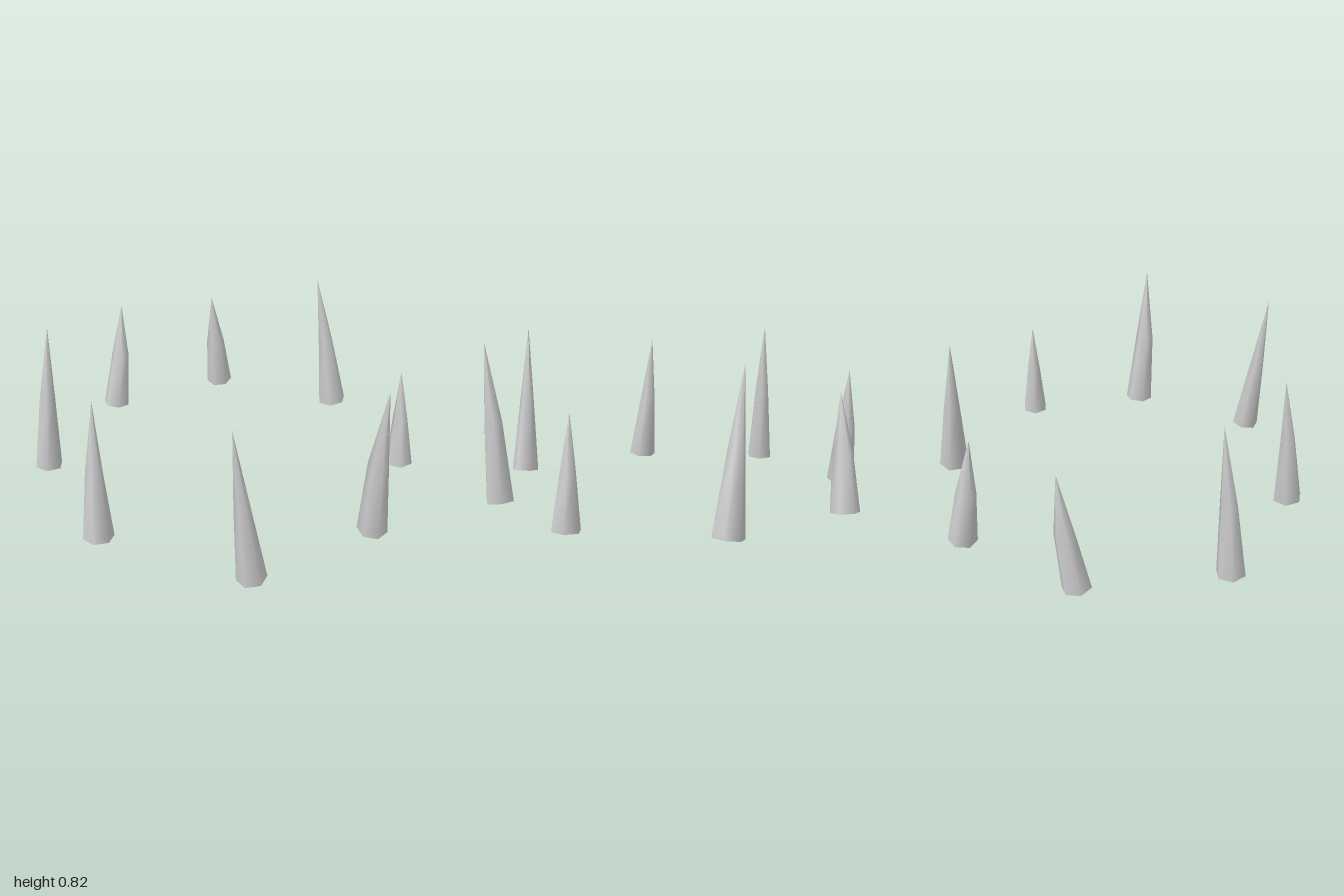
import * as THREE from 'three';
import { toCreasedNormals } from 'three/addons/utils/BufferGeometryUtils.js';

// Each spike: base centre and radius, middle ring centre and radius, tip, turn in degrees
const SPIKES = [
  { base: [0, 0.92], r: 0.077, mid: [-0.032, 0.895], rMid: 0.042, tip: [-0.055, 0.73, 0.86], turn: 30 },
  { base: [0.745, 0.63], r: 0.073, mid: [0.722, 0.674], rMid: 0.038, tip: [0.7, 0.825, 0.715], turn: 18 },
  { base: [0.926, -0.05], r: 0.076, mid: [0.947, -0.024], rMid: 0.05, tip: [0.98, 0.825, -0.02], turn: 0 },
  { base: [0.663, -0.65], r: 0.073, mid: [0.649, -0.643], rMid: 0.04, tip: [0.635, 0.56, -0.635], turn: 45 },
  { base: [-0.027, -0.928], r: 0.079, mid: [-0.07, -0.893], rMid: 0.042, tip: [-0.12, 0.79, -0.852], turn: 30 },
  { base: [-0.7, -0.642], r: 0.074, mid: [-0.695, -0.605], rMid: 0.05, tip: [-0.69, 0.595, -0.57], turn: 17 },
  { base: [-0.938, 0], r: 0.073, mid: [-0.938, -0.053], rMid: 0.05, tip: [-0.94, 0.63, -0.083], turn: 0 },
  { base: [-0.69, 0.694], r: 0.074, mid: [-0.69, 0.662], rMid: 0.043, tip: [-0.69, 0.815, 0.62], turn: 45 },
];

// Six-sided leaning spike: a two-step cone whose rings are moved and tilted
function spikeGeometry({ base, r, mid, rMid, tip, turn }) {
  const geo = new THREE.ConeGeometry(1, 1, 6, 2);
  geo.rotateY(THREE.MathUtils.degToRad(turn));
  const pos = geo.attributes.position;
  const rings = [
    { c: [base[0], 0.013, base[1]], r },
    { c: [mid[0], tip[1] / 2 + 0.005, mid[1]], r: rMid },
    { c: tip, r: 0 },
  ];
  const leanX = (tip[0] - base[0]) / tip[1];
  const leanZ = (tip[2] - base[1]) / tip[1];
  for (let i = 0; i < pos.count; i++) {
    const ring = rings[Math.round((pos.getY(i) + 0.5) * 2)];
    const length = Math.hypot(pos.getX(i), pos.getZ(i));
    const scale = length > 1e-4 ? ring.r / length : 0;
    const dx = pos.getX(i) * scale;
    const dz = pos.getZ(i) * scale;
    const y = ring.c[1] - dx * leanX - dz * leanZ;
    pos.setXYZ(i, ring.c[0] + dx, Math.max(0, y), ring.c[2] + dz);
  }
  // smooth around the sides, sharp at the bottom
  return toCreasedNormals(geo, 1.2);
}

export function createModel() {
  const group = new THREE.Group();
  group.name = 'spikeRing';
  const material = new THREE.MeshStandardMaterial({ color: 0xcccccc });
  SPIKES.forEach((spec, i) => {
    const spike = new THREE.Mesh(spikeGeometry(spec), material);
    spike.name = `spike${i + 1}`;
    group.add(spike);
  });
  return group;
}
